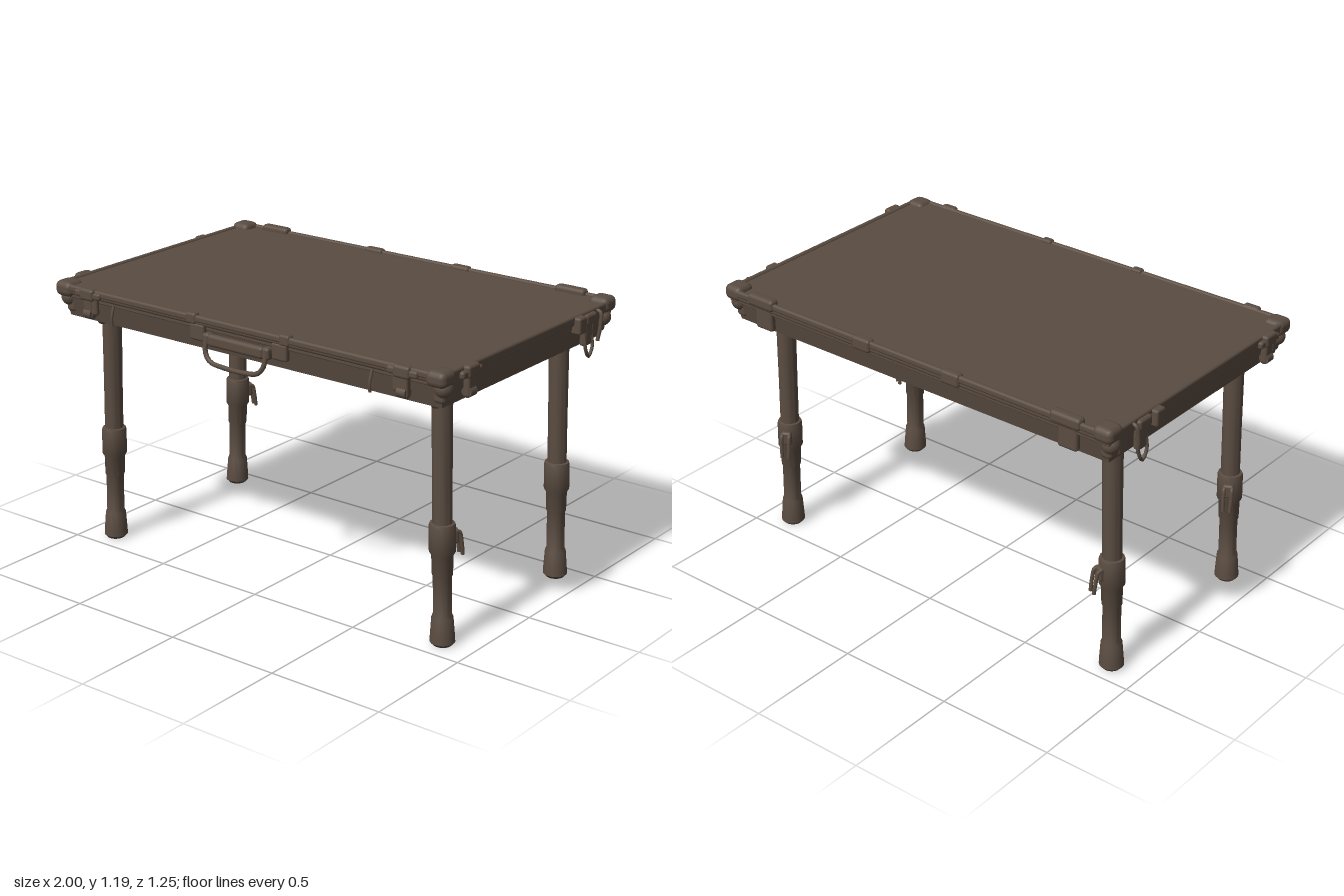
import * as THREE from 'three';
import { toCreasedNormals } from 'three/addons/utils/BufferGeometryUtils.js';
import { RoundedBoxGeometry } from 'three/addons/geometries/RoundedBoxGeometry.js';

const brown = new THREE.MeshStandardMaterial({ color: 0x5a4c41 });
brown.name = 'dark brown';

function add(parent, name, geometry, x = 0, y = 0, z = 0) {
  const mesh = new THREE.Mesh(geometry, brown);
  mesh.name = name;
  mesh.position.set(x, y, z);
  parent.add(mesh);
  return mesh;
}

const block = (parent, name, w, h, d, x, y, z, r = 0.01) =>
  add(parent, name, new RoundedBoxGeometry(w, h, d, 2, Math.min(r, w / 2.1, h / 2.1, d / 2.1)), x, y, z);

function wire(parent, name, points, radius) {
  const curve = new THREE.CatmullRomCurve3(points.map(p => new THREE.Vector3(...p)), false, 'centripetal');
  return add(parent, name, new THREE.TubeGeometry(curve, 24, radius, 8));
}

// Skin through rectangular sections, each [half width, half depth, height]
function rectangularSkin(sections) {
  const corners = [[1, 1], [1, -1], [-1, -1], [-1, 1]];
  const at = ([hx, hz, y], k) => [corners[k % 4][0] * hx, y, corners[k % 4][1] * hz];
  const pos = [];
  for (let i = 0; i < sections.length - 1; i++) for (let k = 0; k < 4; k++) {
    const a = at(sections[i], k), b = at(sections[i], k + 1);
    const c = at(sections[i + 1], k + 1), d = at(sections[i + 1], k);
    pos.push(...a, ...d, ...c, ...a, ...c, ...b);
  }
  const g = new THREE.BufferGeometry();
  g.setAttribute('position', new THREE.Float32BufferAttribute(pos, 3));
  return toCreasedNormals(g, 0.5);
}

// Telescopic leg: turned profile leaning slightly outward at the foot
function makeLeg(sx, z, leverX, leverZ) {
  const leg = new THREE.Group();
  leg.name = 'leg';
  const profile = [[0, 0.005], [0.038, 0.005], [0.05, 0.018], [0.049, 0.04], [0.043, 0.12], [0.037, 0.135],
    [0.037, 0.29], [0.041, 0.3], [0.043, 0.38], [0.052, 0.395], [0.052, 0.5], [0.049, 0.51], [0.039, 0.512],
    [0.039, 0.7], [0.041, 1.03], [0.041, 1.08], [0, 1.08]];
  let g = new THREE.LatheGeometry(profile.map(p => new THREE.Vector2(...p)), 24);
  const p = g.attributes.position;
  for (let i = 0; i < p.count; i++) p.setX(i, p.getX(i) + sx * 0.024 * (1 - p.getY(i) / 1.05));
  g = toCreasedNormals(g, 0.7);
  add(leg, 'legTube', g);

  // clamp lever
  const lever = new THREE.Group();
  lever.name = 'clampLever';
  lever.position.set(sx * 0.013, 0, 0);
  lever.rotation.y = Math.atan2(leverX, leverZ);
  block(lever, 'leverHinge', 0.045, 0.06, 0.03, 0, 0.45, 0.05);
  for (const s of [-1, 1])
    wire(lever, 'leverArm', [[s * 0.016, 0.47, 0.055], [s * 0.016, 0.465, 0.067], [s * 0.016, 0.42, 0.077], [s * 0.014, 0.37, 0.083]], 0.008);
  leg.add(lever);
  leg.position.set(sx * 0.838, 0, z);
  return leg;
}

// Draw latch facing +z, origin on the case wall
function makeLatch() {
  const latch = new THREE.Group();
  latch.name = 'latch';
  block(latch, 'latchCap', 0.075, 0.05, 0.035, 0, 1.152, 0.012, 0.012);
  block(latch, 'latchPlate', 0.05, 0.09, 0.03, 0, 1.095, 0.005);
  const pin = add(latch, 'latchPin', new THREE.CylinderGeometry(0.022, 0.022, 0.04, 16), 0, 1.07, 0.006);
  pin.rotation.z = Math.PI / 2;
  return latch;
}

export function createModel() {
  const model = new THREE.Group();
  model.name = 'foldingCaseTable';

  // Case: tray with a shallow dished underside, groove, lid and raised lip
  const top = new THREE.Group();
  top.name = 'caseTop';
  add(top, 'tray', rectangularSkin([[0.952, 0.575, 1.13], [0.935, 0.555, 1.028], [0.925, 0.545, 1.028],
    [0.905, 0.525, 1.045], [0.865, 0.485, 1.057], [0.78, 0.4, 1.063], [0, 0, 1.066]]), 0, 0, -0.012);
  block(top, 'trayBand', 1.92, 0.02, 1.175, 0, 1.125, -0.014, 0.005);
  block(top, 'lid', 1.94, 0.036, 1.2, 0, 1.149, -0.014, 0.012);
  for (const s of [-1, 1]) {
    block(top, 'longEdge', 1.9, 0.03, 0.022, 0, s > 0 ? 1.158 : 1.163, -0.014 + s * 0.592, 0.01);
    block(top, 'shortEdge', 0.022, 0.03, 1.16, s * 0.96, 1.16, -0.014, 0.01);
  }
  model.add(top);

  // Corner guards
  for (const sx of [-1, 1]) for (const sz of [-1, 1]) {
    const z = sz > 0 ? 0.55 : -0.575;
    const y = sz > 0 ? 1.148 : 1.158;
    block(top, 'cornerGuard', 0.09, 0.065, 0.09, sx * 0.932, y, z, 0.025);
    add(top, 'cornerBall', new THREE.SphereGeometry(0.036, 16, 12), sx * 0.94, 1.105, z - sz * 0.01);
    block(top, 'cornerFoot', 0.05, 0.06, 0.06, sx * 0.925, 1.075, z - sz * 0.025, 0.015);
  }

  // Legs
  model.add(makeLeg(1, 0.402, 0.5, -1), makeLeg(-1, 0.402, -0.5, -1));
  model.add(makeLeg(1, -0.41, -0.5, -1), makeLeg(-1, -0.41, 0.5, -1));

  // Leg stay wires
  for (const sx of [-1, 1]) for (const z of [0.402, -0.41]) {
    wire(model, 'legStay', [[sx * 0.76, 1.07, z + 0.03], [sx * 0.765, 1.01, z + 0.02], [sx * 0.785, 0.98, z], [sx * 0.81, 0.97, z]], 0.007);
    if (z > 0) wire(model, 'legStay', [[sx * 0.845, 1.07, 0.475], [sx * 0.845, 1.0, 0.472], [sx * 0.845, 0.988, 0.45], [sx * 0.845, 0.985, 0.42]], 0.007);
  }

  // Front latches with wire bails
  for (const sx of [-1, 1]) {
    const latch = makeLatch();
    latch.position.set(sx * 0.79, 0, 0.575);
    block(latch, 'latchStrip', 0.14, 0.03, 0.03, 0, 1.15, 0.008);
    model.add(latch);
    wire(model, 'latchBail', [[sx * 0.65, 1.13, 0.585], [sx * 0.65, 1.08, 0.6], [sx * 0.65, 1.045, 0.598]], 0.006);
    block(model, 'frontClip', 0.035, 0.075, 0.022, sx * 0.76, 1.105, 0.58);
  }

  // Side latches, clips and hanging loops
  for (const sx of [-1, 1]) {
    const latch = makeLatch();
    latch.position.set(sx * 0.966, 0, 0.42);
    latch.rotation.y = sx * Math.PI / 2;
    block(latch, 'latchStrip', 0.13, 0.03, 0.03, 0, 1.145, 0.008);
    model.add(latch);
    block(model, 'sideClip', 0.045, 0.07, 0.055, sx * 0.975, 1.135, -0.33, 0.01);
    block(model, 'sideLatchCap', 0.04, 0.045, 0.08, sx * 0.968, 1.142, -0.41, 0.012);
    block(model, 'sideLatchPlate', 0.03, 0.12, 0.055, sx * 0.96, 1.09, -0.41, 0.01);
    wire(model, 'sideLoop', [[sx * 0.965, 1.09, -0.385], [sx * 0.975, 1.02, -0.387], [sx * 0.975, 0.985, -0.412],
      [sx * 0.975, 1.02, -0.437], [sx * 0.965, 1.09, -0.435]], 0.007);
    wire(model, 'sideHook', [[sx * 0.955, 1.16, -0.47], [sx * 0.985, 1.155, -0.472], [sx * 0.992, 1.1, -0.465], [sx * 0.985, 1.04, -0.458]], 0.008);
    block(model, 'sideBlock', 0.03, 0.09, 0.06, sx * 0.935, 1.085, -0.5, 0.012);
  }

  // Carrying handle on the front
  for (const sx of [-1, 1]) {
    block(model, 'handleBracket', 0.075, 0.07, 0.028, sx * 0.207, 1.105, 0.574, 0.01);
    block(model, 'handlePivot', 0.035, 0.05, 0.04, sx * 0.15, 1.09, 0.583, 0.012);
    block(model, 'frontHinge', 0.05, 0.045, 0.035, sx * 0.235, 1.158, 0.576, 0.01);
  }
  wire(model, 'handleLoop', [[-0.15, 1.09, 0.595], [-0.147, 1.04, 0.605], [-0.12, 1.008, 0.61], [-0.06, 0.998, 0.612],
    [0.06, 0.998, 0.612], [0.12, 1.008, 0.61], [0.147, 1.04, 0.605], [0.15, 1.09, 0.595]], 0.01);
  block(model, 'handleGrip', 0.28, 0.05, 0.03, 0, 1.09, 0.592, 0.014);

  // Back latches and hinges
  for (const sx of [-1, 1]) {
    block(model, 'backLatch', 0.14, 0.05, 0.045, sx * 0.77, 1.167, -0.602, 0.015);
    block(model, 'backLatchPlate', 0.09, 0.1, 0.03, sx * 0.77, 1.09, -0.59, 0.012);
    block(model, 'backHinge', 0.09, 0.055, 0.04, sx * 0.225, 1.156, -0.605, 0.012);
  }
  return model;
}
